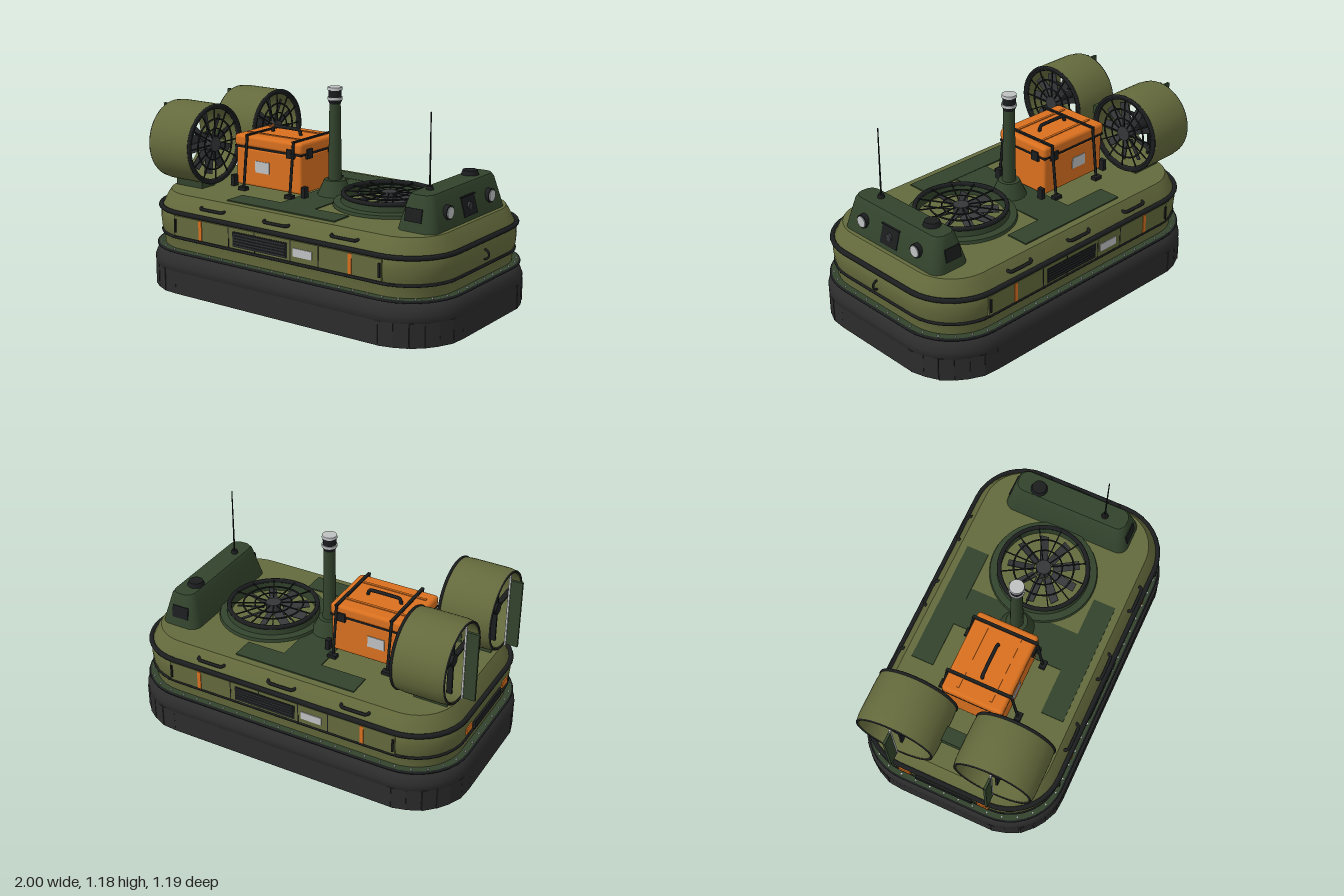
import * as THREE from 'three';
import { mergeGeometries, toCreasedNormals } from 'three/addons/utils/BufferGeometryUtils.js';
import { RoundedBoxGeometry } from 'three/addons/geometries/RoundedBoxGeometry.js';

const paint = (name, color) => Object.assign(new THREE.MeshStandardMaterial({ color }), { name });
const V = (x, y, z) => new THREE.Vector3(x, y, z);
const HX = 0.995, HZ = 0.595, R = 0.33;

// Rounded rectangle outline in 2D
function ring(hx, hz, r, n = 9) {
  const pts = [];
  [[1, 1], [-1, 1], [-1, -1], [1, -1]].forEach(([sx, sz], k) => {
    for (let i = 0; i <= n; i++) {
      const a = (k + i / n) * Math.PI / 2;
      pts.push(new THREE.Vector2(sx * (hx - r) + r * Math.cos(a), sz * (hz - r) + r * Math.sin(a)));
    }
  });
  return pts;
}
const outline = (...a) => { const p = ring(...a); return new THREE.Path([...p, p[0]]); };

// Skin stacked rounded rectangles [hx, hz, radius, y], listed bottom to top on the outside
function loft(levels, capTop = false, crease = 0.5) {
  const pos = [], idx = [], n = ring(1, 1, 0.5).length;
  levels.forEach(([hx, hz, r, y]) => ring(hx, hz, r).forEach(p => pos.push(p.x, y, p.y)));
  for (let i = 0; i < levels.length - 1; i++) for (let j = 0; j < n; j++) {
    const a = i * n + j, b = i * n + (j + 1) % n;
    idx.push(a, a + n, b, b, a + n, b + n);
  }
  if (capTop) {
    const last = (levels.length - 1) * n, c = pos.length / 3;
    pos.push(0, levels.at(-1)[3], 0);
    for (let j = 0; j < n; j++) idx.push(c, last + (j + 1) % n, last + j);
  }
  const g = new THREE.BufferGeometry();
  g.setAttribute('position', new THREE.Float32BufferAttribute(pos, 3));
  g.setIndex(idx);
  return toCreasedNormals(g, crease);
}
const inset = (d, y) => [HX - d, HZ - d, R - d, y];
const rail = (d, y, r) => loft(Array.from({ length: 9 }, (_, i) =>
  inset(d - r * Math.cos(i * Math.PI / 4), y + r * Math.sin(i * Math.PI / 4))), false, 1);

const box = (w, h, d, x = 0, y = 0, z = 0) => new THREE.BoxGeometry(w, h, d).translate(x, y, z);
const cyl = (r1, r2, h, x = 0, y = 0, z = 0, n = 24) => new THREE.CylinderGeometry(r1, r2, h, n).translate(x, y, z);
const cylX = (r, h, x, y, z, n = 24) => new THREE.CylinderGeometry(r, r, h, n).rotateZ(-Math.PI / 2).translate(x, y, z);
const cylZ = (r, h, x, y, z, n = 24) => new THREE.CylinderGeometry(r, r, h, n).rotateX(Math.PI / 2).translate(x, y, z);
const hoop = (r, t, z = 0) => new THREE.TorusGeometry(r, t, 8, 48).translate(0, 0, z);
const rod = (a, b, r) => new THREE.TubeGeometry(new THREE.LineCurve3(a, b), 1, r, 8);
const bent = (pts, r) => new THREE.TubeGeometry(new THREE.CatmullRomCurve3(pts, false, 'catmullrom', 0.2), 20, r, 8);

export function createModel() {
  const olive = paint('olive paint', 0x646a3c), green = paint('dark green paint', 0x32432c);
  const black = paint('black fittings', 0x1b1d1e), rubber = paint('skirt rubber', 0x2c2c2d);
  const grey = paint('fan blade grey', 0x343638), orange = paint('orange', 0xd9701f);
  const silver = paint('silver', 0xbfc1c2);
  const model = new THREE.Group();
  const add = (name, mat, geos, parent = model) => {
    const list = [geos].flat().map(g => g.index ? g.toNonIndexed() : g);
    const m = new THREE.Mesh(mergeGeometries(list), mat);
    m.name = name;
    parent.add(m);
    return m;
  };
  const both = f => [1, -1].flatMap(f);

  // Skirt: air bag with separate fingers hanging below
  add('skirtBag', rubber, loft([[0.015, 0.14], [0, 0.16], [0, 0.195], [0.012, 0.225], [0.03, 0.245], [0.06, 0.258],
    [0.15, 0.255], [0.19, 0.2], [0.17, 0.155], [0.1, 0.13], [0.015, 0.14]].map(p => inset(...p)), false, 0.9));
  const edge = outline(HX - 0.008, HZ - 0.008, R - 0.008), fingers = [], count = 72;
  const pitch = edge.getLength() / count;
  for (let i = 0; i < count; i++) {
    const u = (i + 0.5) / count, p = edge.getPointAt(u), t = edge.getTangentAt(u);
    fingers.push(box(pitch, 0.13, 0.014).rotateY(-Math.atan2(t.y, t.x)).translate(p.x, 0.094, p.y));
  }
  add('skirtFingers', rubber, fingers);

  // Hull and floor
  add('hull', olive, loft([[0.06, 0.26], [0.057, 0.3], [0.05, 0.34], [0.042, 0.37], [0.038, 0.42], [0.042, 0.47],
    [0.06, 0.505], [0.08, 0.545], [0.1, 0.575]].map(p => inset(...p)), true));
  add('hullFloor', olive, box(1.66, 0.02, 0.86, 0, 0.2, 0));
  add('flange', green, loft([[0.15, 0.258], [0.02, 0.258], [0.02, 0.272], [0.1, 0.272]].map(p => inset(...p))));
  add('rubRails', black, [rail(0.04, 0.485, 0.014), rail(0.048, 0.34, 0.009), rail(0.02, 0.265, 0.008)]);
  const boltPath = outline(HX - 0.035, HZ - 0.035, R - 0.035), bolts = [];
  for (let i = 0; i < 64; i++) {
    const p = boltPath.getPointAt(i / 64);
    bolts.push(cyl(0.005, 0.006, 0.008, p.x, 0.276, p.y, 6));
  }
  add('flangeBolts', silver, bolts);

  // Side panels, vents, stripes and grab handles, mirrored
  add('sidePanels', olive, both(s => box(1.38, 0.115, 0.012, 0, 0.412, s * 0.555)));
  add('sideStripes', orange, both(s => both(t => box(0.022, 0.11, 0.008, t * 0.5, 0.412, s * 0.561))));
  add('namePlates', silver, both(s => box(0.125, 0.045, 0.008, s * 0.2, 0.408, s * 0.561)));
  add('sideVents', black, both(s => box(0.37, 0.085, 0.006, -s * 0.085, 0.408, s * 0.561)));
  add('ventSlats', grey, both(s => [0, 1, 2, 3, 4].map(i => box(0.35, 0.006, 0.006, -s * 0.085, 0.376 + i * 0.016, s * 0.566))));
  add('panelLatches', black, both(s => both(t => [box(0.01, 0.075, 0.012, t * 0.68, 0.412, s * 0.564),
    ...[-0.3, 0.12].map(x => box(0.005, 0.11, 0.005, x * t, 0.412, s * 0.56))])));
  add('grabHandles', black, both(s => [-0.44, 0, 0.44].map(x =>
    bent([V(x - 0.085, 0.532, s * 0.5), V(x - 0.07, 0.53, s * 0.54), V(x + 0.07, 0.53, s * 0.54), V(x + 0.085, 0.532, s * 0.5)], 0.009))));
  add('towLoop', black, new THREE.TorusGeometry(0.026, 0.006, 8, 20).translate(0.955, 0.405, 0));
  add('sternLights', orange, both(s => box(0.012, 0.04, 0.07, -0.957, 0.405, s * 0.235)));
  add('sternVent', black, box(0.02, 0.05, 0.34, -0.958, 0.385, 0));

  // Deck plates
  add('deckPlates', green, [...both(s => box(0.72, 0.008, 0.13, -0.035, 0.578, s * 0.39)),
    box(0.23, 0.006, 0.66, -0.015, 0.577, 0)]);

  // Fan with hub, blades, rings and guard spokes, facing local +z
  const fan = (r, parent) => {
    const blades = [], spokes = [];
    for (let i = 0; i < 9; i++) blades.push(box(0.048, r * 0.6, 0.006).rotateY(0.45).translate(0, r * 0.52, 0).rotateZ((i + 0.3) * Math.PI * 2 / 9));
    for (let i = 0; i < 12; i++) spokes.push(box(0.006, r, 0.006, 0, r / 2, 0.035).rotateZ(i * Math.PI / 6));
    add('fanBlades', grey, blades, parent);
    add('fanHub', grey, cylZ(0.042, 0.06, 0, 0, 0.01), parent);
    add('fanGuard', black, [...spokes, hoop(r * 0.68, 0.005, 0.035), hoop(r * 0.42, 0.004, 0.035), hoop(r, 0.013, 0.03)], parent);
  };
  const tube = pts => toCreasedNormals(new THREE.LatheGeometry(pts.map(p => new THREE.Vector2(...p)), 48).rotateX(Math.PI / 2), 0.6);

  // Lift fan in the deck
  const lift = new THREE.Group();
  lift.name = 'liftFan';
  lift.position.set(0.36, 0.61, 0);
  lift.rotation.x = -Math.PI / 2;
  add('liftFanCollar', green, tube([[0.24, -0.032], [0.305, -0.032], [0.3, -0.015], [0.262, -0.01], [0.255, 0.035], [0.24, 0.035], [0.24, -0.032]]), lift);
  fan(0.248, lift);
  model.add(lift);

  // Twin thrust ducts with rudders
  both(s => {
    const duct = new THREE.Group();
    duct.name = s > 0 ? 'thrustDuctLeft' : 'thrustDuctRight';
    duct.position.set(-0.775, 0.83, s * 0.28);
    duct.rotation.y = Math.PI / 2;
    add('ductShell', olive, tube([[0.205, -0.14], [0.22, -0.14], [0.226, -0.1], [0.226, 0.1], [0.222, 0.15], [0.205, 0.15], [0.205, -0.14]]), duct);
    add('ductRims', black, [hoop(0.218, 0.01, 0.15), hoop(0.215, 0.006, -0.14)], duct);
    add('rudder', green, box(0.014, 0.4, 0.065, 0, -0.005, -0.192), duct);
    add('rudderPost', silver, box(0.012, 0.43, 0.01, 0, 0, -0.152), duct);
    add('motor', black, [cylZ(0.035, 0.2, 0, 0, 0), box(0.41, 0.012, 0.03, 0, 0, -0.08), box(0.012, 0.41, 0.03, 0, 0, -0.08)], duct);
    add('ductFoot', green, box(0.11, 0.06, 0.19, 0, -0.235, 0), duct);
    const prop = new THREE.Group();
    prop.name = 'propeller';
    prop.position.z = 0.115;
    fan(0.21, prop);
    duct.add(prop);
    model.add(duct);
    return [];
  });
  add('ductBridge', green, box(0.08, 0.05, 0.16, -0.78, 0.83, 0));

  // Cargo case with lid, straps and handle
  add('caseBody', orange, new RoundedBoxGeometry(0.46, 0.22, 0.34, 2, 0.015).translate(-0.335, 0.7, 0));
  add('caseLid', orange, new RoundedBoxGeometry(0.475, 0.068, 0.355, 2, 0.02).translate(-0.335, 0.846, 0));
  add('lidRibs', orange, both(s => box(0.4, 0.008, 0.014, -0.335, 0.881, s * 0.095)));
  add('caseSeam', black, box(0.468, 0.012, 0.348, -0.335, 0.812, 0));
  add('caseLabel', silver, both(s => box(0.1, 0.065, 0.008, -0.375, 0.708, s * 0.17)));
  add('caseLatches', black, [...both(s => box(0.02, 0.055, 0.05, -0.1, 0.815, s * 0.105)),
    ...both(s => box(0.05, 0.05, 0.02, -0.17, 0.815, s * 0.178))]);
  add('caseHandle', black, bent([V(-0.435, 0.875, 0), V(-0.42, 0.91, 0), V(-0.25, 0.91, 0), V(-0.235, 0.875, 0)], 0.01));
  add('caseStraps', black, [-0.47, -0.145].flatMap(x => [box(0.018, 0.008, 0.38, x, 0.885, 0),
    ...both(s => [rod(V(x, 0.885, s * 0.185), V(x, 0.6, s * 0.22), 0.008), box(0.05, 0.02, 0.035, x, 0.588, s * 0.225)])]));
  add('caseCorners', black, both(s => both(t => box(0.025, 0.065, 0.035, -0.335 + t * 0.25, 0.607, s * 0.165))));

  // Mast with lantern
  add('mast', green, [cyl(0.06, 0.1, 0.09, 0, 0.62, 0), cyl(0.031, 0.038, 0.44, 0, 0.87, 0)]);
  add('lantern', black, [cyl(0.04, 0.03, 0.025, 0, 1.098, 0), cyl(0.036, 0.036, 0.06, 0, 1.14, 0)]);
  add('lanternRings', silver, [cyl(0.042, 0.042, 0.014, 0, 1.118, 0), cyl(0.04, 0.042, 0.016, 0, 1.172, 0)]);

  // Bow console with headlights, hatch and antenna
  add('console', green, loft([[0.118, 0.375, 0.06, 0.572], [0.113, 0.368, 0.058, 0.6], [0.075, 0.34, 0.055, 0.74], [0.062, 0.328, 0.05, 0.76]], true)
    .translate(0.755, 0, 0));
  add('headlightRims', black, both(s => cylX(0.038, 0.06, 0.84, 0.66, s * 0.21)));
  add('headlights', silver, both(s => cylX(0.031, 0.008, 0.871, 0.66, s * 0.21)));
  add('frontHatch', black, box(0.012, 0.1, 0.13, 0, 0, 0).rotateZ(0.27).translate(0.853, 0.648, 0));
  add('frontHatchBoss', grey, cylX(0.02, 0.015, 0.86, 0.65, 0));
  add('sideWindows', black, both(s => box(0.1, 0.07, 0.008).rotateX(-s * 0.2).translate(0.745, 0.66, s * 0.358)));
  add('roofDome', black, [cyl(0.04, 0.048, 0.025, 0.74, 0.772, -0.2), cyl(0.015, 0.02, 0.02, 0.74, 0.77, 0.2)]);
  add('roofStrip', black, box(0.03, 0.006, 0.14, 0.835, 0.702, 0));
  add('antenna', black, cyl(0.003, 0.005, 0.39, 0.74, 0.965, 0.2, 8));

  // Crawler tracks under the hull
  both(s => {
    const track = new THREE.Group();
    track.name = s > 0 ? 'trackLeft' : 'trackRight';
    track.position.set(0.02, 0.088, s * 0.335);
    const belt = new THREE.Shape(ring(0.655, 0.075, 0.075));
    belt.holes.push(new THREE.Path(ring(0.64, 0.06, 0.06).reverse()));
    add('belt', black, new THREE.ExtrudeGeometry(belt, { depth: 0.2, bevelEnabled: false }).translate(0, 0, -0.1), track);
    const path = outline(0.66, 0.08, 0.08), cleats = [];
    for (let i = 0; i < 56; i++) {
      const p = path.getPointAt(i / 56), t = path.getTangentAt(i / 56);
      cleats.push(box(0.022, 0.016, 0.22).rotateZ(Math.atan2(t.y, t.x)).translate(p.x, p.y, 0));
    }
    add('cleats', black, cleats, track);
    const small = [-0.36, -0.12, 0.12, 0.36];
    add('wheels', rubber, [...both(t => cylZ(0.058, 0.206, t * 0.575, 0, 0)), ...small.map(x => cylZ(0.04, 0.206, x, -0.02, 0))], track);
    add('wheelHubs', silver, [cylZ(0.04, 0.216, 0.575, 0, 0), cylZ(0.018, 0.216, -0.575, 0, 0), ...small.map(x => cylZ(0.022, 0.216, x, -0.02, 0))], track);
    add('trackBeam', green, [box(1.0, 0.04, 0.17, 0, 0.015, 0), ...both(t => box(0.1, 0.025, 0.26, t * 0.27, 0.02, 0))], track);
    add('shockAbsorbers', silver, both(t => cyl(0.018, 0.018, 0.09, t * 0.27, 0.07, s * 0.122)), track);
    add('shockCaps', black, both(t => cyl(0.023, 0.023, 0.025, t * 0.27, 0.1, s * 0.122)), track);
    model.add(track);
    return [];
  });
  return model;
}
